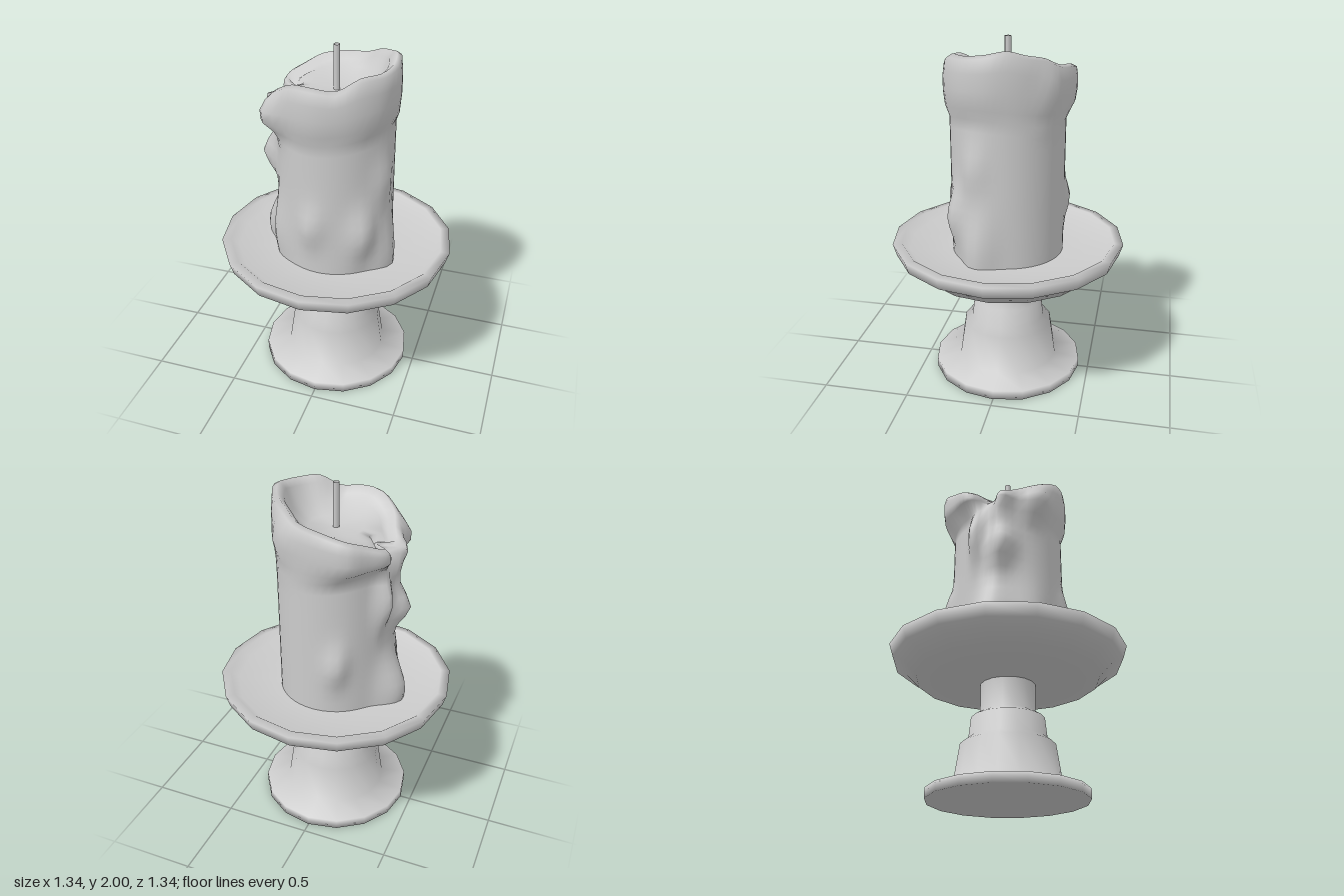
import * as THREE from 'three';

const material = new THREE.MeshStandardMaterial({ color: 0xcccccc, side: THREE.DoubleSide });

function addMesh(group, name, geometry) {
  const mesh = new THREE.Mesh(geometry, material);
  mesh.name = name;
  group.add(mesh);
  return mesh;
}

function lathe(points) {
  return new THREE.LatheGeometry(points.map(([r, y]) => new THREE.Vector2(r, y)), 16);
}

// Uneven melted rim, going round from +x towards +z
const rim = new THREE.CatmullRomCurve3([
  [0.335, 1.97, -0.06], [0.35, 1.95, 0.06], [0.31, 1.935, 0.19], [0.22, 1.93, 0.28],
  [0.1, 1.87, 0.335], [-0.02, 1.88, 0.355], [-0.15, 1.875, 0.325], [-0.27, 1.81, 0.235],
  [-0.32, 1.76, 0.12], [-0.355, 1.72, 0.02], [-0.26, 1.72, -0.04], [-0.345, 1.73, -0.13],
  [-0.345, 1.755, -0.2], [-0.28, 1.79, -0.275], [-0.2, 1.825, -0.35], [-0.05, 1.855, -0.355],
  [0.1, 1.875, -0.315], [0.2, 1.92, -0.25], [0.29, 1.945, -0.16],
].map((p) => new THREE.Vector3(...p)), true);

// Wax drips: angle, height, bulge, angular spread, vertical spread
const drips = [
  [3.08, 1.35, 0.105, 0.14, 0.08], [3.52, 1.44, 0.08, 0.1, 0.11], [3.27, 0.84, 0.12, 0.2, 0.15],
  [2.48, 1.66, 0.1, 0.15, 0.065], [3.1, 1.62, 0.05, 0.15, 0.08], [2.6, 0.92, 0.04, 0.25, 0.15],
  [0.33, 0.84, 0.065, 0.2, 0.2], [0.4, 1.33, 0.035, 0.15, 0.1], [0.85, 1.03, 0.06, 0.15, 0.1],
  [1.72, 1.06, 0.04, 0.14, 0.08], [-1.95, 1.07, 0.05, 0.13, 0.08], [-0.92, 1.73, 0.05, 0.2, 0.08],
];

function bulge(angle, y) {
  return drips.reduce((sum, [a, h, amount, sa, sy]) => {
    const da = Math.atan2(Math.sin(angle - a), Math.cos(angle - a)) / sa;
    const dy = (y - h) / sy;
    return sum + amount * Math.exp(-0.5 * (da * da + dy * dy));
  }, 0);
}

// One vertical strip of the candle: outer wall, overhanging lip, hollow top
function candleColumn(point) {
  const angle = Math.atan2(point.z, point.x);
  const r = Math.hypot(point.x, point.z);
  const top = point.y;
  const lipY = 1.625 + 0.025 * Math.sin(2 * angle + 1);
  const column = [];
  const wallRows = 13;
  for (let j = 0; j <= wallRows; j++) {
    const y = 0.775 + (lipY - 0.04 - 0.775) * (j / wallRows);
    column.push([0.322 + bulge(angle, y), y]);
  }
  column.push([Math.max(r, 0.3) * 0.985 + bulge(angle, lipY) * 0.9, lipY + 0.02]);
  for (const f of [0.4, 0.7]) {
    const y = lipY + (top - lipY) * f;
    column.push([r * 1.01 + bulge(angle, y) * 0.75, y]);
  }
  column.push([r * 0.985, top - 0.015], [r * 0.91, top], [r * 0.8, top - 0.035]);
  column.push([0.1 + r * 0.4, 1.765 + (top - 1.765) * 0.35], [0.15, 1.76], [0, 1.755]);
  return column.map(([radius, y]) => [radius * Math.cos(angle), y, radius * Math.sin(angle)]);
}

function candleGeometry(segments) {
  const positions = [];
  const indices = [];
  let rows = 0;
  for (let i = 0; i < segments; i++) {
    const column = candleColumn(rim.getPoint(i / segments));
    rows = column.length;
    column.forEach((p) => positions.push(...p));
  }
  for (let i = 0; i < segments; i++) {
    const next = (i + 1) % segments;
    for (let j = 0; j < rows - 1; j++) {
      const a = i * rows + j;
      const b = next * rows + j;
      indices.push(a, a + 1, b, b, a + 1, b + 1);
    }
  }
  const geometry = new THREE.BufferGeometry();
  geometry.setAttribute('position', new THREE.Float32BufferAttribute(positions, 3));
  geometry.setIndex(indices);
  geometry.computeVertexNormals();
  return geometry;
}

export function createModel() {
  const model = new THREE.Group();
  model.name = 'candleOnStand';

  // Stepped pedestal with a wide foot
  addMesh(model, 'pedestal', lathe([
    [0, 0], [0.44, 0], [0.44, 0.055], [0.295, 0.08], [0.262, 0.3],
    [0.217, 0.335], [0.205, 0.45], [0.155, 0.48], [0.155, 0.645],
  ]));

  // Shallow dish with a thick rounded rim
  addMesh(model, 'dish', lathe([
    [0.155, 0.645], [0.515, 0.67], [0.59, 0.75], [0.65, 0.77], [0.672, 0.84],
    [0.62, 0.843], [0.575, 0.802], [0.35, 0.782], [0, 0.77],
  ]));

  addMesh(model, 'candle', candleGeometry(57));

  // Open-ended wick standing in the hollow
  const wick = addMesh(model, 'wick', new THREE.CylinderGeometry(0.018, 0.018, 0.25, 8, 1, true));
  wick.position.y = 1.875;

  return model;
}
